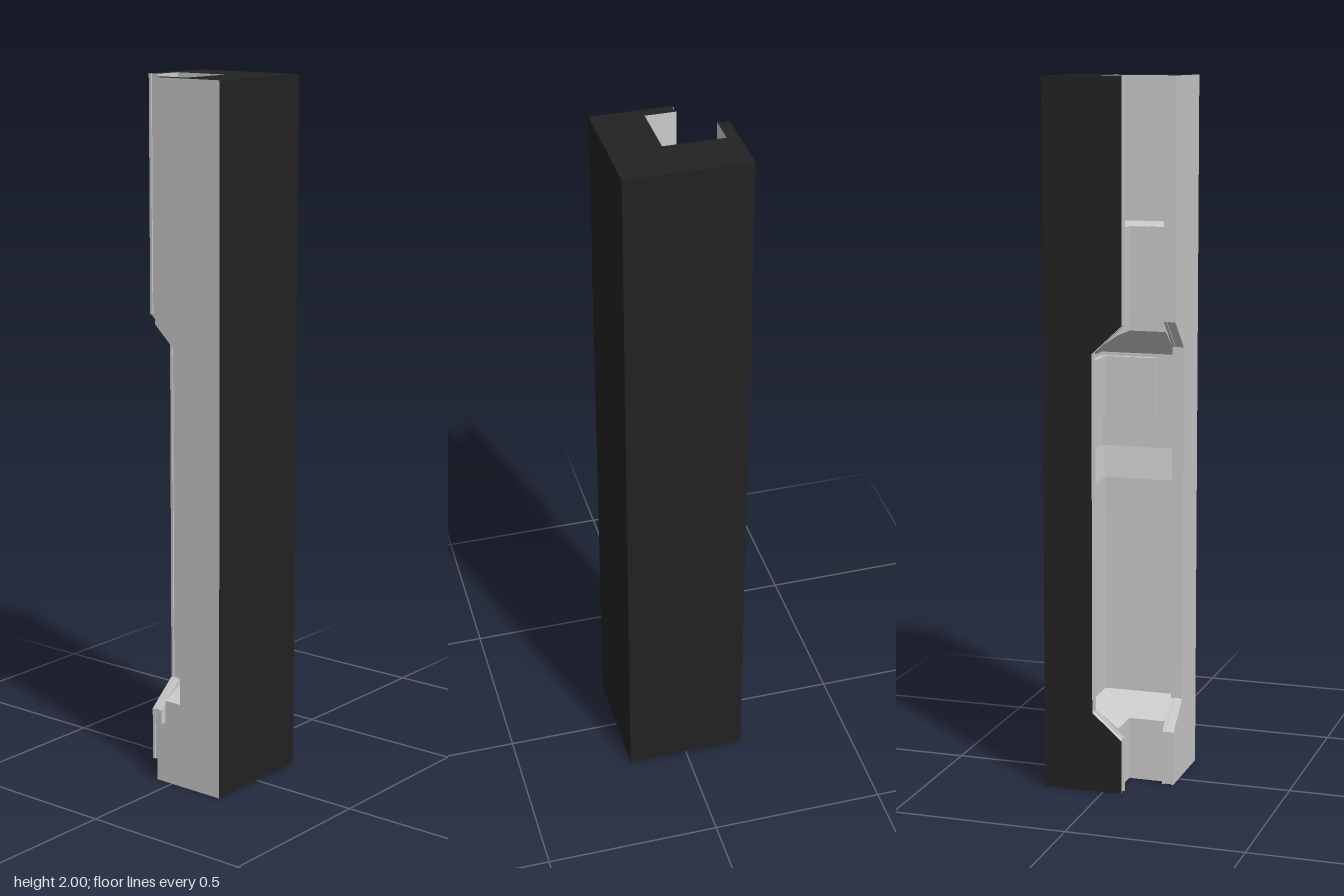
import * as THREE from 'three';

const R = 0.173;   // half width of the post
const W = 0.14;    // inner face of the thin channel walls

// height -> position of the core's inner corner (pocket depth)
const CORE = [[0, -0.035], [0.18, -0.035], [0.23, 0.07], [0.86, 0.07], [0.95, 0.085],
  [1.22, 0.085], [1.3, -0.035], [1.59, -0.035], [1.6, 0.031], [2, 0.031]];
// height -> position of the free edge of the thin walls
const EDGE = [[0, -0.055], [0.155, -0.055], [0.23, 0.031], [1.25, 0.031], [1.33, -0.055], [2, -0.055]];

function sample(profile, y) {
  const i = Math.max(1, profile.findIndex((p) => p[0] >= y));
  const [y0, v0] = profile[i - 1], [y1, v1] = profile[i];
  return v0 + (v1 - v0) * (y - y0) / (y1 - y0);
}

// Horizontal section: one half is listed, the other is mirrored on the diagonal
function section(y) {
  const c = sample(CORE, y), e = sample(EDGE, y), g = e + 0.004;
  const half = [[R, R], [e, R], [e, 0.165], [g, 0.165], [g, 0.148], [e, 0.148], [e, W], [c, W]];
  const mirrored = half.map(([x, z]) => [-z, -x]).reverse();
  return [[R, -R], ...half, [c, -c], ...mirrored];
}

function toGeometry(points) {
  const g = new THREE.BufferGeometry();
  g.setAttribute('position', new THREE.Float32BufferAttribute(points.flat(), 3));
  g.computeVertexNormals();
  return g;
}

export function createModel() {
  const model = new THREE.Group();
  const grey = new THREE.MeshStandardMaterial({ color: 0xcccccc });
  const dark = new THREE.MeshStandardMaterial({ color: 0x222222 });
  const add = (name, geometry, material) => {
    const mesh = new THREE.Mesh(geometry, material);
    mesh.name = name;
    model.add(mesh);
    return mesh;
  };

  // Loft the sections; the plain outer faces and the ends are dark
  const greyFaces = [], darkFaces = [];
  const levels = [...new Set([...CORE, ...EDGE].map((p) => p[0]))].sort((a, b) => a - b);
  const rings = levels.map((y) => section(y).map(([x, z]) => [x, y, z]));
  for (let k = 0; k < rings.length - 1; k++) {
    const low = rings[k], high = rings[k + 1], n = low.length;
    for (let i = 0; i < n; i++) {
      const j = (i + 1) % n;
      const target = i === 0 || i >= n - 2 ? darkFaces : greyFaces;
      target.push(low[i], high[i], high[j], low[i], high[j], low[j]);
    }
  }

  // Top and bottom ends
  for (const [ring, up] of [[rings[0], false], [rings[rings.length - 1], true]]) {
    const contour = ring.map(([x, , z]) => new THREE.Vector2(x, z));
    for (const [a, b, c] of THREE.ShapeUtils.triangulateShape(contour, [])) {
      const area = THREE.ShapeUtils.area([contour[a], contour[b], contour[c]]);
      const order = (area < 0) === up ? [a, b, c] : [a, c, b];
      darkFaces.push(...order.map((i) => ring[i]));
    }
  }
  add('channelBody', toGeometry(greyFaces), grey);
  add('outerShell', toGeometry(darkFaces), dark);

  // Shallow raised pads inside the channel, one on each inner face
  const pads = [
    { name: 'upperPad', x0: -0.1, x1: -0.037, y0: 1.35, y1: 1.58, z0: 0.03, z1: 0.038 },
    { name: 'lowerPad', x0: -0.08, x1: 0.08, y0: 1.045, y1: 1.21, z0: -0.09, z1: -0.07 },
  ];
  for (const { name, x0, x1, y0, y1, z0, z1 } of pads) {
    const w = x1 - x0, h = y1 - y0, d = z1 - z0;
    const x = (x0 + x1) / 2, y = (y0 + y1) / 2, z = (z0 + z1) / 2;
    add(name + 'Back', new THREE.BoxGeometry(w, h, d), grey).position.set(x, y, z);
    add(name + 'Side', new THREE.BoxGeometry(d, h, w), grey).position.set(-z, y, -x);
  }
  return model;
}
